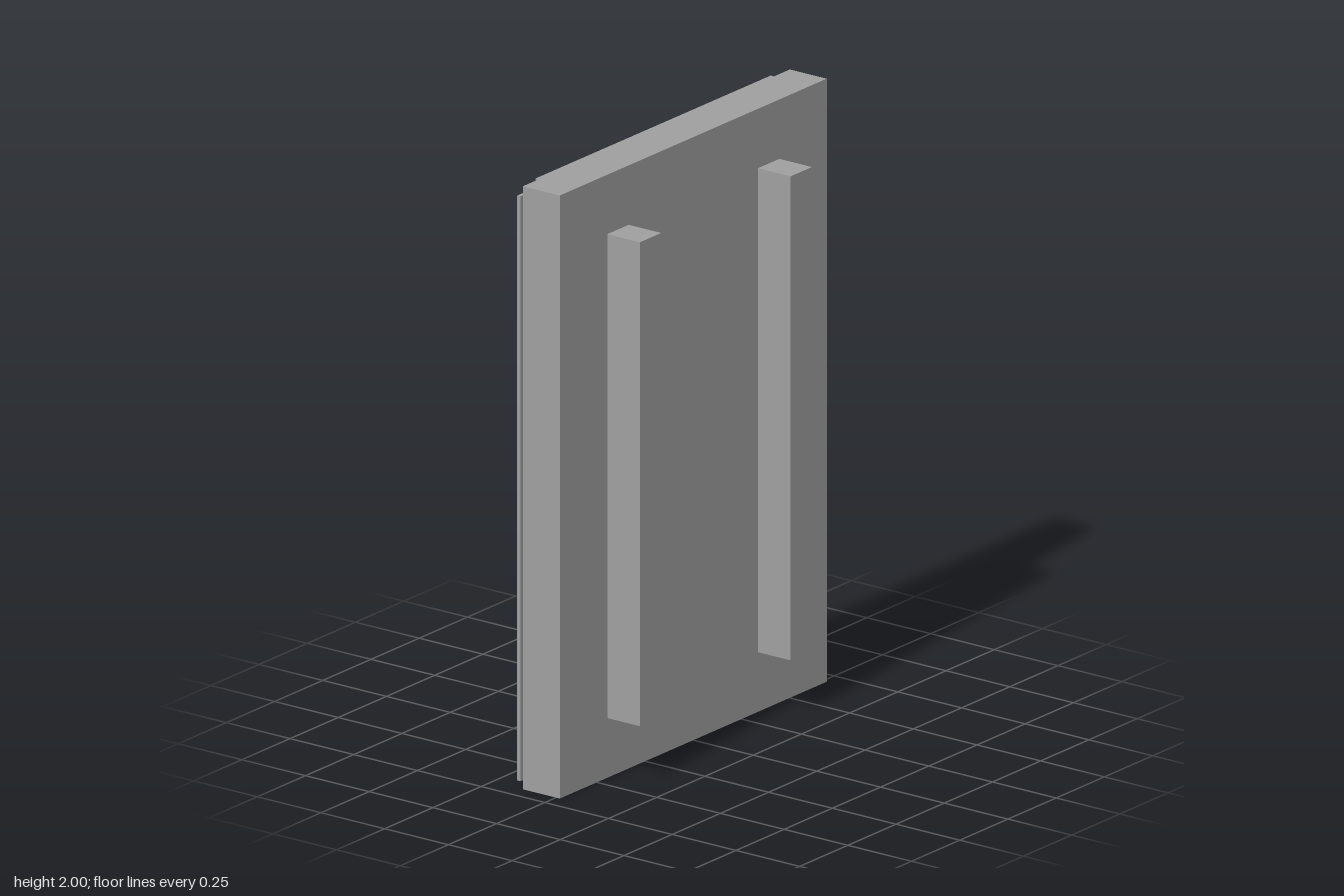
import * as THREE from 'three';

export function createModel() {
  const group = new THREE.Group();
  const grey = new THREE.MeshStandardMaterial({ color: 0xa0a0a0 });
  grey.name = 'plain grey';

  // Box given by its minimum and maximum on each axis
  const box = (name, x0, x1, y0, y1, z0, z1) => {
    const mesh = new THREE.Mesh(new THREE.BoxGeometry(x1 - x0, y1 - y0, z1 - z0), grey);
    mesh.position.set((x0 + x1) / 2, (y0 + y1) / 2, (z0 + z1) / 2);
    mesh.name = name;
    group.add(mesh);
  };

  const back = -0.13, front = 0.015, depth = 0.143;

  // Main slab and the thin inset panel on its back
  box('slab', -0.692, 0.692, 0, 2, back, front);
  box('backPanel', -0.61, 0.61, 0.08, 1.92, back - 0.002, back);

  // Trim strips along the top and bottom of the back
  box('bottomTrim', -0.61, 0.61, 0, 0.055, -depth, back);
  box('topTrim', -0.61, 0.61, 1.945, 2, -depth, back);

  // Mirrored side trims (slightly overhanging) and front rails
  for (const [side, s] of [['left', 1], ['right', -1]]) {
    const span = (a, b) => (s > 0 ? [a, b] : [-b, -a]);
    box(side + 'Trim', ...span(0.65, 0.704), 0.03, 1.97, -depth, back);
    box(side + 'Rail', ...span(0.335, 0.446), 0.198, 1.803, front, depth);
  }
  return group;
}
